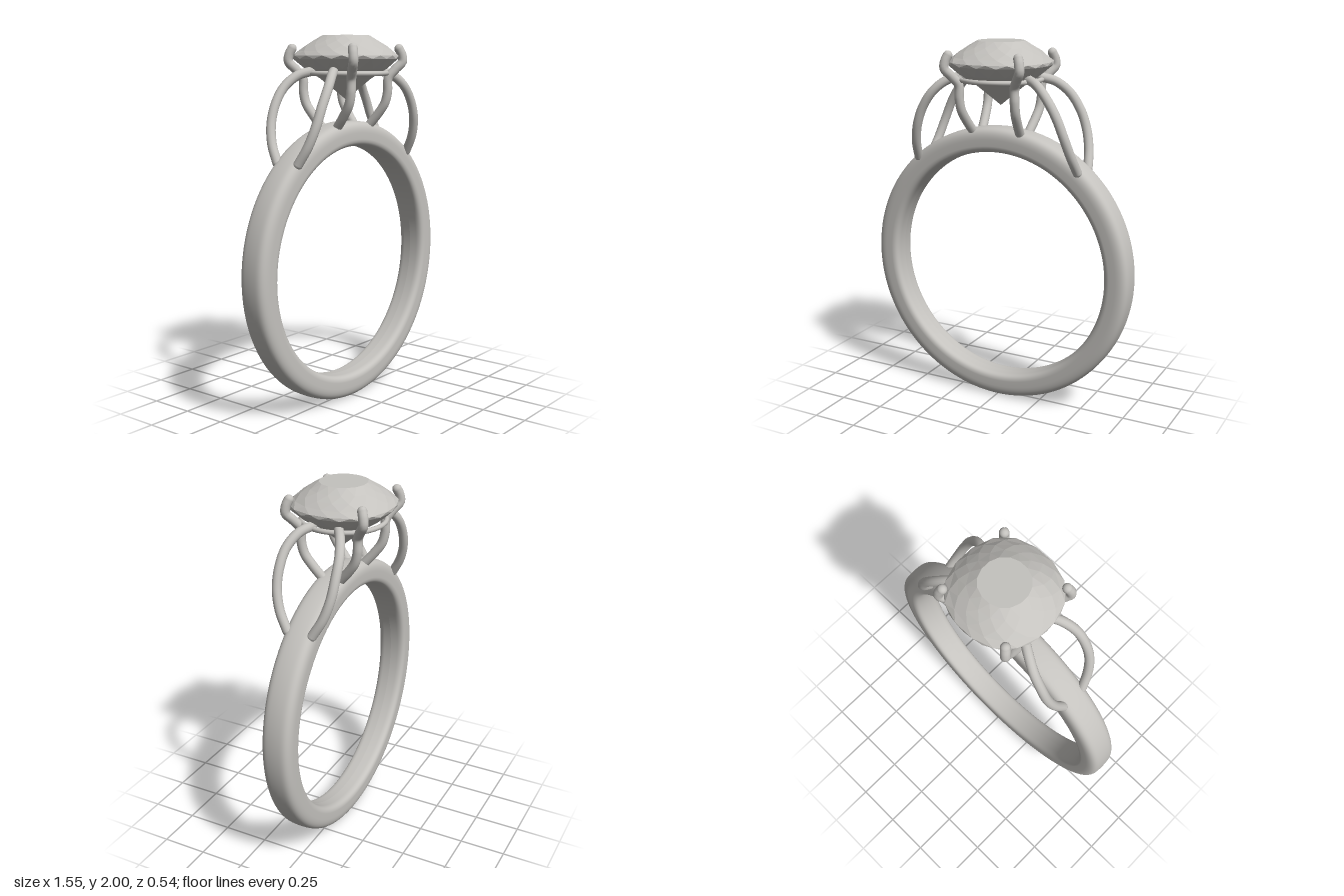
import * as THREE from 'three';

const metal = new THREE.MeshStandardMaterial({ color: 0xc4c2be });
metal.name = 'silver';
const stone = new THREE.MeshStandardMaterial({ color: 0xc4c2be, flatShading: true });
stone.name = 'stone grey';

function addMesh(parent, name, geometry, material) {
  const mesh = new THREE.Mesh(geometry, material);
  mesh.name = name;
  parent.add(mesh);
  return mesh;
}

// Round wire along a smooth path, with rounded ends
function wire(name, points, radius) {
  const group = new THREE.Group();
  group.name = name;
  const path = points.map((p) => new THREE.Vector3(...p));
  const curve = new THREE.CatmullRomCurve3(path, false, 'centripetal');
  addMesh(group, name + 'Rod', new THREE.TubeGeometry(curve, 40, radius, 14), metal);
  for (const end of [path[0], path[path.length - 1]]) {
    addMesh(group, name + 'End', new THREE.SphereGeometry(radius, 14, 10), metal).position.copy(end);
  }
  return group;
}

// Band: rounded cross-section turned around the finger axis, slimmer at the bottom
function bandGeometry() {
  const s = new THREE.Shape();
  s.moveTo(0.636, 0);
  s.lineTo(0.638, -0.045);
  s.bezierCurveTo(0.64, -0.072, 0.65, -0.084, 0.675, -0.086);
  s.lineTo(0.71, -0.086);
  s.bezierCurveTo(0.75, -0.085, 0.768, -0.07, 0.771, -0.04);
  s.quadraticCurveTo(0.775, 0, 0.771, 0.04);
  s.bezierCurveTo(0.768, 0.07, 0.75, 0.085, 0.71, 0.086);
  s.lineTo(0.675, 0.086);
  s.bezierCurveTo(0.65, 0.084, 0.64, 0.072, 0.638, 0.045);
  s.lineTo(0.636, 0);
  const g = new THREE.LatheGeometry(s.getPoints(8), 128);
  g.rotateX(Math.PI / 2);
  g.translate(0, 0.773, 0);
  const p = g.attributes.position;
  for (let i = 0; i < p.count; i++) {
    p.setZ(i, p.getZ(i) * (0.88 + 0.12 * Math.min(1, p.getY(i) / 1.2)));
  }
  return g;
}

// Gem: staggered rings of facets on a slightly cushioned outline
function gemGeometry() {
  const n = 16;
  // radius, height of each ring from table to culet
  const rings = [
    [0.125, 2.0], [0.172, 1.971], [0.212, 1.945], [0.246, 1.917], [0.272, 1.893],
    [0.27, 1.876], [0.215, 1.825], [0.135, 1.772], [0.065, 1.714],
  ];
  const pos = [0, 2.0, 0];
  rings.forEach(([r, y], k) => {
    for (let i = 0; i < n; i++) {
      const a = ((i + (k % 2 ? 0 : 0.5)) / n) * Math.PI * 2;
      const cushion = 1 + (r / 0.272) * 0.025 * (1 - Math.cos(4 * a));
      pos.push(r * cushion * Math.cos(a), y, r * cushion * Math.sin(a));
    }
  });
  pos.push(0, 1.66, 0);
  const at = (k, i) => 1 + k * n + ((i + n) % n);
  const tip = 1 + rings.length * n;
  const index = [];
  for (let i = 0; i < n; i++) {
    index.push(0, at(0, i + 1), at(0, i));
    for (let k = 0; k < rings.length - 1; k++) {
      const a = at(k, i), b = at(k, i + 1), c = at(k + 1, i), d = at(k + 1, i + 1);
      if (k % 2) index.push(a, b, c, b, d, c);
      else index.push(a, d, c, a, b, d);
    }
    index.push(at(rings.length - 1, i), at(rings.length - 1, i + 1), tip);
  }
  const g = new THREE.BufferGeometry();
  g.setAttribute('position', new THREE.Float32BufferAttribute(pos, 3));
  g.setIndex(index);
  const flat = g.toNonIndexed();
  flat.computeVertexNormals();
  return flat;
}

export function createModel() {
  const ring = new THREE.Group();
  ring.name = 'solitaireRing';

  addMesh(ring, 'band', bandGeometry(), metal);
  addMesh(ring, 'gem', gemGeometry(), stone);

  // Thin rail circling below the gem
  const rail = addMesh(ring, 'galleryRail', new THREE.TorusGeometry(0.22, 0.013, 12, 72), metal);
  rail.rotation.x = Math.PI / 2;
  rail.position.y = 1.8;

  // Four prongs and four shoulder arches, mirrored to each corner
  for (const sx of [1, -1]) {
    for (const sz of [1, -1]) {
      const place = (pts) => pts.map(([x, y, z]) => [x * sx, y, z * sz]);
      ring.add(wire('prong', place([
        [0.142, 1.52, 0.055], [0.152, 1.58, 0.105], [0.16, 1.64, 0.145], [0.163, 1.7, 0.16],
        [0.164, 1.775, 0.164], [0.19, 1.82, 0.19], [0.218, 1.862, 0.218],
        [0.215, 1.9, 0.215], [0.204, 1.93, 0.204],
      ]), 0.025));
      ring.add(wire('shoulderArch', place([
        [0.48, 1.35, 0.07], [0.462, 1.44, 0.12], [0.435, 1.54, 0.15], [0.395, 1.64, 0.157],
        [0.335, 1.73, 0.148], [0.265, 1.79, 0.115], [0.2, 1.812, 0.075],
      ]), 0.025));
    }
  }
  return ring;
}
